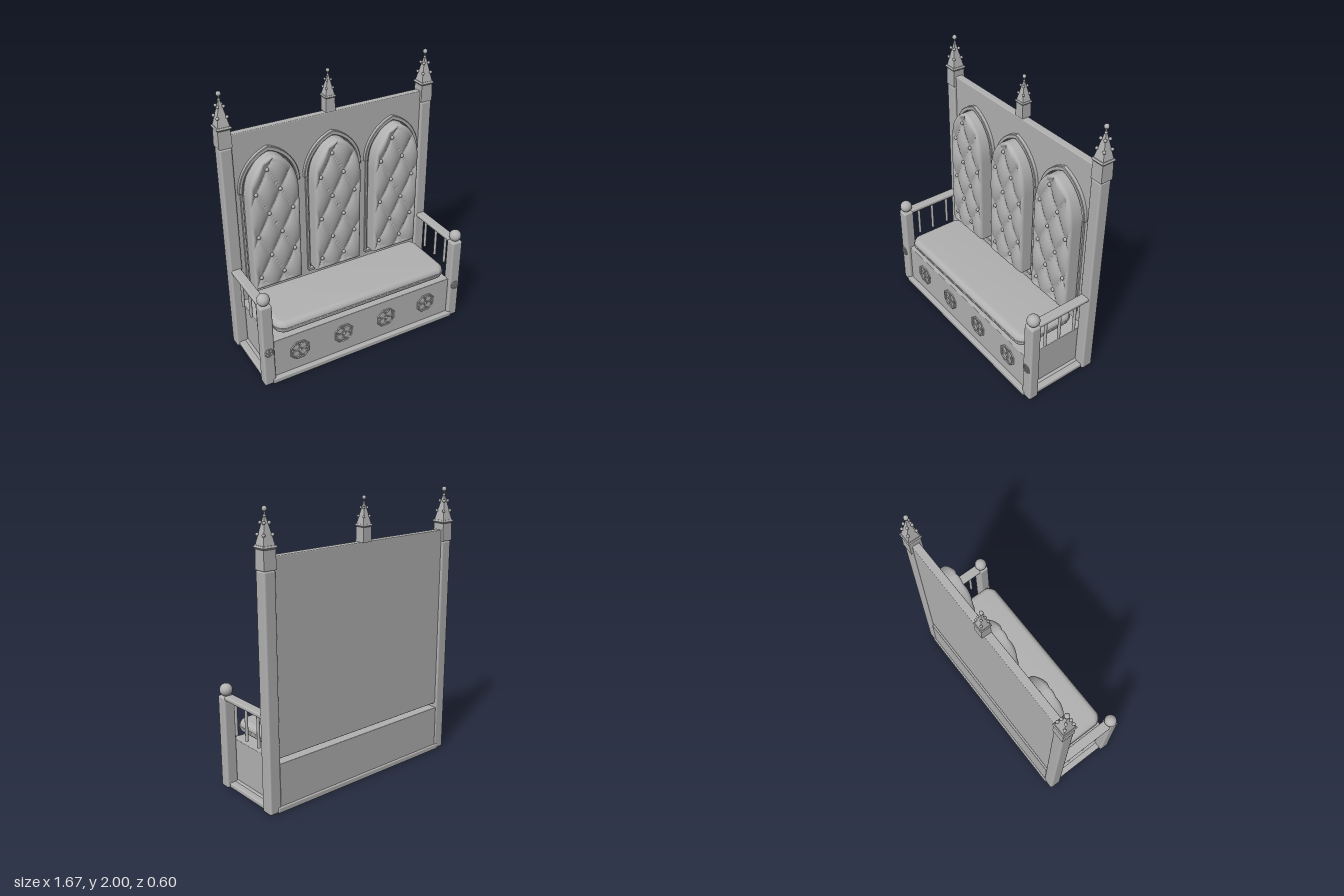
import * as THREE from 'three';
import { mergeVertices, toCreasedNormals } from 'three/addons/utils/BufferGeometryUtils.js';
import { RoundedBoxGeometry } from 'three/addons/geometries/RoundedBoxGeometry.js';

const grey = new THREE.MeshStandardMaterial({ color: 0xb2b2b2 });
grey.name = 'grey';

function add(parent, name, geometry, x = 0, y = 0, z = 0) {
  const mesh = new THREE.Mesh(geometry, grey);
  mesh.name = name;
  mesh.position.set(x, y, z);
  parent.add(mesh);
  return mesh;
}

// Softened box given by its limits on each axis
function block(parent, name, [x0, x1], [y0, y1], [z0, z1], r = 0.01) {
  const g = new RoundedBoxGeometry(x1 - x0, y1 - y0, z1 - z0, 2, r);
  return add(parent, name, g, (x0 + x1) / 2, (y0 + y1) / 2, (z0 + z1) / 2);
}

// Four-sided frustum with its base at y = 0
function frustum(top, bottom, height) {
  const g = new THREE.CylinderGeometry(top * Math.SQRT2, bottom * Math.SQRT2, height, 4);
  g.rotateY(Math.PI / 4).translate(0, height / 2, 0);
  return toCreasedNormals(g, 0.3);
}

// Pinnacle: square drum, flared lip, spire, crockets and ball
function pinnacle() {
  const g = new THREE.Group();
  g.name = 'pinnacle';
  add(g, 'drum', frustum(0.044, 0.047, 0.13));
  add(g, 'lipUnder', frustum(0.053, 0.044, 0.012), 0, 0.125, 0);
  add(g, 'lip', frustum(0.047, 0.053, 0.012), 0, 0.137, 0);
  add(g, 'spire', frustum(0.006, 0.043, 0.172), 0, 0.148, 0);
  add(g, 'neck', new THREE.CylinderGeometry(0.005, 0.006, 0.04, 10), 0, 0.33, 0);
  add(g, 'collar', new THREE.SphereGeometry(0.01, 12, 8), 0, 0.322, 0);
  add(g, 'finialBall', new THREE.SphereGeometry(0.017, 16, 12), 0, 0.363, 0);
  for (const [y, off] of [[0.212, 0.033], [0.282, 0.02]])
    for (const sx of [-1, 1]) for (const sz of [-1, 1])
      add(g, 'crocket', new THREE.SphereGeometry(0.011, 12, 8), sx * off, y, sz * off);
  return g;
}

// Half-width of the pad at a given height
const PAD = { w: 0.186, y0: 0.51, spring: 1.2, y1: 1.53, back: -0.225, front: -0.105, r: 0.035 };
function padWidth(y) {
  if (y <= PAD.spring) return PAD.w;
  const t = Math.min(1, (y - PAD.spring) / (PAD.y1 - PAD.spring));
  return PAD.w * Math.pow(1 - Math.pow(t, 2.3), 0.58);
}

// Diamond tufting lattice, with a button at every whole-number pair
const DX = 0.09, DY = 0.168, BX = -0.045, BY = 1.44;
function tuft(x, y) {
  const p = (x - BX) / DX, q = (y - BY) / DY;
  const s = Math.abs(Math.sin((p + q) * Math.PI / 2) * Math.sin((p - q) * Math.PI / 2));
  return 0.03 * (1 - Math.pow(s, 0.45));
}

// Tufted pad: a grid fitted to the arch, rolled over at the rim
function padGeometry() {
  const nu = 46, nv = 130, g = new THREE.PlaneGeometry(1, 1, nu, nv);
  const pos = g.attributes.position;
  for (let j = 0; j <= nv; j++) for (let i = 0; i <= nu; i++) {
    const u = THREE.MathUtils.clamp((i - 1) / (nu - 2), 0, 1);
    const v = THREE.MathUtils.clamp((j - 1) / (nv - 2), 0, 1);
    const y = PAD.y1 + (PAD.y0 - PAD.y1) * (0.45 * v + 0.55 * (1 - Math.cos(Math.PI * v)) / 2);
    const w = padWidth(y), x = -w * Math.cos(Math.PI * u);
    const slope = (padWidth(y - 0.004) - padWidth(y)) / 0.004;
    const d = Math.min((w - Math.abs(x)) / Math.hypot(1, slope), y - PAD.y0, PAD.y1 - y);
    const k = THREE.MathUtils.clamp(d / PAD.r, 0, 1);
    let z = PAD.front - PAD.r * (1 - Math.sqrt(1 - (1 - k) ** 2)) - tuft(x, y) * k;
    if (i === 0 || i === nu || j === 0 || j === nv) z = PAD.back;
    pos.setXYZ(j * (nu + 1) + i, x, y, z);
  }
  g.computeVertexNormals();
  return g;
}

// Pointed arch traced as two arcs, from left foot to right foot
function archPoints(hw, spring, apex) {
  const h = apex - spring, R = (hw * hw + h * h) / (2 * hw), pts = [];
  const end = Math.asin(Math.min(1, h / R)), n = 14;
  for (let i = 0; i <= n; i++) {
    const a = end * i / n;
    pts.push(new THREE.Vector2(R - hw - R * Math.cos(a), spring + R * Math.sin(a)));
  }
  for (let i = n - 1; i >= 0; i--) pts.push(new THREE.Vector2(-pts[i].x, pts[i].y));
  return pts;
}

function archBand(outer, inner, depth) {
  const shape = new THREE.Shape([...outer, ...inner.slice().reverse()]);
  const g = new THREE.ExtrudeGeometry(shape, { depth, bevelEnabled: true, bevelSize: 0.004, bevelThickness: 0.004, bevelOffset: -0.004, bevelSegments: 1 });
  return toCreasedNormals(g, 0.5);
}

function backBay(x) {
  const g = new THREE.Group();
  g.name = 'backBay';
  g.position.x = x;
  add(g, 'tuftedPad', padGeometry());
  for (let row = 0; row < 6; row++) for (let c = -4; c <= 4; c++) {
    const bx = BX + c * DX, by = BY - row * DY;
    if ((c + row) % 2 || Math.abs(bx) > padWidth(by) - 0.03) continue;
    add(g, 'button', new THREE.SphereGeometry(0.014, 14, 10), bx, by, PAD.front - 0.024);
  }
  add(g, 'archMoulding', archBand(archPoints(0.228, 1.265, 1.572), archPoints(0.203, 1.265, 1.54), 0.025), 0, 0, -0.222);
  add(g, 'innerMoulding', archBand(archPoints(0.2, 1.265, 1.535), archPoints(0.19, 1.265, 1.515), 0.012), 0, 0, -0.222);
  for (const s of [-1, 1])
    block(g, 'sideMoulding', [s * 0.205 - 0.008, s * 0.205 + 0.008], [0.49, 1.268], [-0.225, -0.205], 0.003);
  block(g, 'sill', [-0.215, 0.215], [0.474, 0.495], [-0.225, -0.19], 0.004);
  return g;
}

// Round tracery: scalloped rim, four small rings, and a centre boss
function rosette(R, x, y, z) {
  const g = new THREE.Group();
  g.name = 'rosette';
  g.position.set(x, y, z);
  const rim = new THREE.TorusGeometry(R * 0.9, R * 0.09, 6, 8);
  add(g, 'rim', toCreasedNormals(rim.rotateZ(Math.PI / 8), 0.6));
  for (let i = 0; i < 4; i++) {
    const a = Math.PI / 4 + i * Math.PI / 2;
    const c = Math.cos(a) * R * 0.48, s = Math.sin(a) * R * 0.48;
    add(g, 'foil', new THREE.TorusGeometry(R * 0.33, R * 0.07, 6, 18), c, s, 0);
  }
  add(g, 'boss', new THREE.SphereGeometry(R * 0.14, 12, 8));
  return g;
}

// Seat cushion: rounded plan with a soft edge and a seam around the middle
function cushionPlan(inset) {
  const X = 0.705 - inset, F = 0.283 - inset, B = 0.192 - inset, c = 0.065;
  const s = new THREE.Shape();
  s.moveTo(-X + c, -F);
  s.lineTo(X - c, -F);
  s.quadraticCurveTo(X - 0.015, -F + 0.015, X, -F + c);
  s.lineTo(X, B - c);
  s.quadraticCurveTo(X - 0.01, B - 0.01, X - c, B);
  s.lineTo(-X + c, B);
  s.quadraticCurveTo(-X + 0.01, B - 0.01, -X, B - c);
  s.lineTo(-X, -F + c);
  s.quadraticCurveTo(-X + 0.015, -F + 0.015, -X + c, -F);
  return s;
}
function slab(inset, depth, bevelThickness, bevelSize) {
  let g = new THREE.ExtrudeGeometry(cushionPlan(inset), { depth, bevelThickness, bevelSize, bevelOffset: -bevelSize, bevelSegments: 6, curveSegments: 6 });
  g.deleteAttribute('uv');
  g.deleteAttribute('normal');
  g = mergeVertices(g, 1e-4);
  return toCreasedNormals(g.rotateX(-Math.PI / 2), 0.6);
}

export function createModel() {
  const model = new THREE.Group();
  model.name = 'gothicBench';

  // Back panel, seat box and base
  block(model, 'backPanel', [-0.75, 0.75], [0.378, 1.7], [-0.275, -0.22], 0.006);
  block(model, 'seatBox', [-0.738, 0.738], [0.03, 0.345], [-0.285, 0.265], 0.005);
  block(model, 'basePlinth', [-0.762, 0.762], [0, 0.04], [-0.297, 0.3], 0.008);

  // Cushion
  add(model, 'seatCushion', slab(0.004, 0.012, 0.041, 0.04), 0, 0.422, 0);
  add(model, 'cushionSeam', slab(0, 0.002, 0.005, 0.005), 0, 0.427, 0);

  for (const x of [-0.49, 0, 0.49]) model.add(backBay(x));
  for (const x of [-0.535, -0.18, 0.18, 0.535]) model.add(rosette(0.083, x, 0.195, 0.266));

  // Posts, arms and pinnacles on both sides
  for (const s of [-1, 1]) {
    const span = (a, b) => s > 0 ? [a, b] : [-b, -a];
    block(model, 'rearPost', span(0.735, 0.825), [0, 1.62], [-0.29, -0.198], 0.015);
    block(model, 'frontPost', span(0.738, 0.825), [0, 0.675], [0.212, 0.292], 0.015);
    add(model, 'postBall', new THREE.SphereGeometry(0.045, 24, 16), s * 0.782, 0.715, 0.25);
    block(model, 'armRail', span(0.747, 0.818), [0.65, 0.682], [-0.21, 0.225], 0.012);
    block(model, 'lowerRail', span(0.73, 0.805), [0, 0.036], [-0.21, 0.225], 0.01);
    for (const z of [0.14, 0.018, -0.117])
      add(model, 'baluster', new THREE.CylinderGeometry(0.011, 0.011, 0.24, 14), s * 0.782, 0.535, z);
    model.add(rosette(0.037, s * 0.782, 0.29, 0.296));
    const p = pinnacle();
    p.position.set(s * 0.78, 1.62, -0.247);
    model.add(p);
  }

  // Smaller pinnacle over the middle of the back
  const middle = pinnacle();
  middle.position.set(0, 1.7, -0.258);
  middle.scale.setScalar(0.79);
  model.add(middle);
  return model;
}
